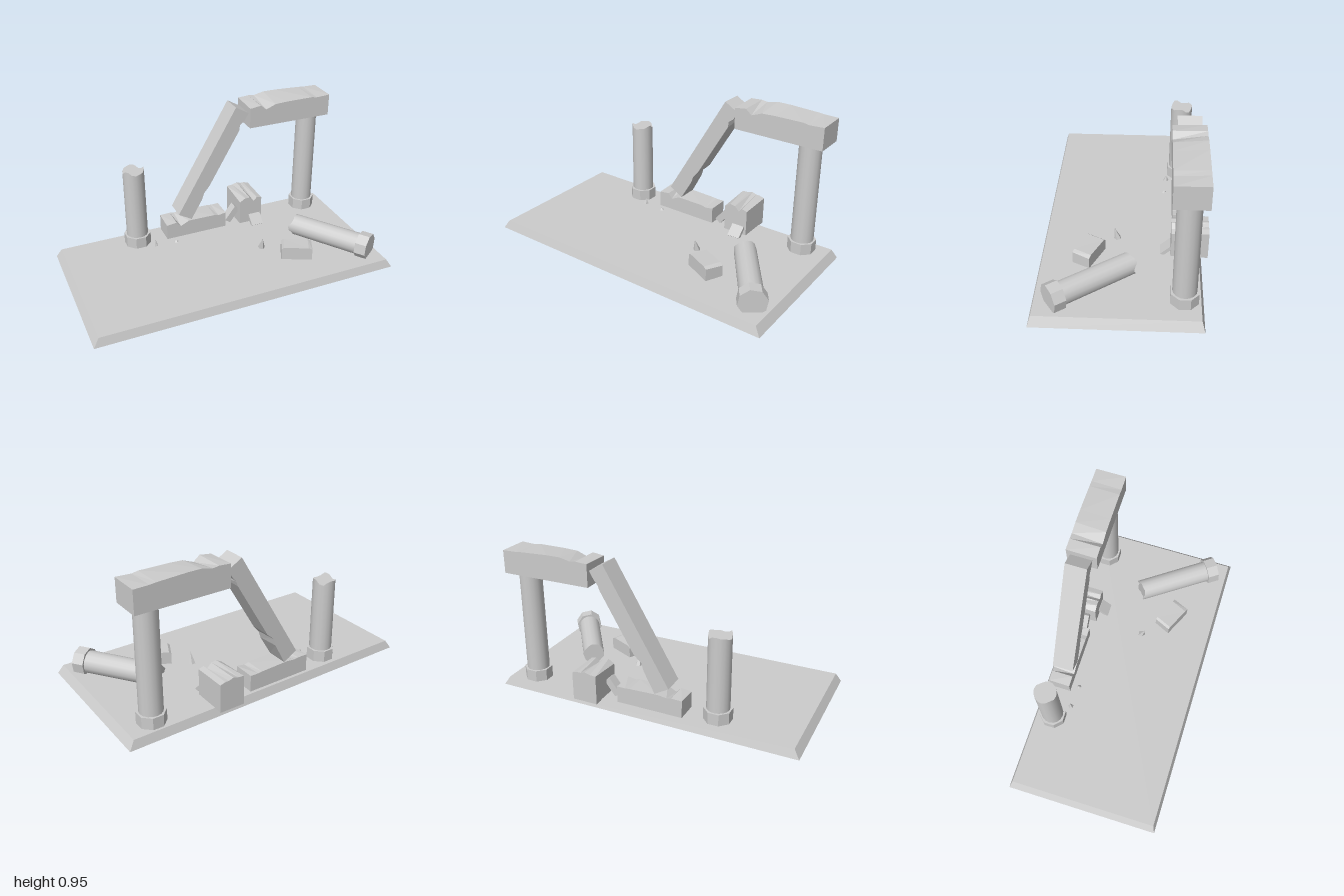
import * as THREE from 'three';

const GROUND = 0.055;
const flat = new THREE.MeshStandardMaterial({ color: 0xcccccc, flatShading: true, side: THREE.DoubleSide });
const smooth = new THREE.MeshStandardMaterial({ color: 0xcccccc, side: THREE.DoubleSide });

function add(parent, name, geometry, material = flat) {
  const mesh = new THREE.Mesh(geometry, material);
  mesh.name = name;
  parent.add(mesh);
  return mesh;
}

// Stone block with a chipped top: profile rows are [x, front height, back height]
function chippedBlock(profile, bottom, back, front) {
  const shape = new THREE.Shape();
  shape.moveTo(profile[0][0], bottom);
  shape.lineTo(profile[profile.length - 1][0], bottom);
  for (const [x, y] of [...profile].reverse()) shape.lineTo(x, y);
  const geo = new THREE.ExtrudeGeometry(shape, { depth: front - back, bevelEnabled: false });
  const p = geo.attributes.position;
  for (let i = 0; i < p.count; i++) {
    if (p.getZ(i) > 1e-5 || p.getY(i) < bottom + 1e-4) continue;
    const row = profile.find(r => Math.abs(r[0] - p.getX(i)) < 1e-5);
    if (row) p.setY(i, row[2]);
  }
  geo.translate(0, 0, back);
  geo.computeVertexNormals();
  return geo;
}

// Column standing on its local origin, optionally snapped off at the top
function column(name, height, broken) {
  const g = new THREE.Group();
  g.name = name;
  const shaft = new THREE.CylinderGeometry(0.07, 0.072, height, 16, 1);
  shaft.translate(0, height / 2, 0);
  if (broken) {
    const p = shaft.attributes.position;
    for (let i = 0; i < p.count; i++) {
      if (p.getY(i) < height - 0.001) continue;
      const x = p.getX(i), z = p.getZ(i);
      const r = Math.hypot(x, z), a = Math.atan2(z, x);
      p.setY(i, height + (r < 0.01 ? -0.02 : 0.012 * Math.sin(3 * a + 0.6) + 0.007 * Math.cos(5 * a)));
    }
  }
  add(g, 'shaft', shaft, smooth);
  const foot = add(g, 'foot', new THREE.CylinderGeometry(0.089, 0.089, 0.075, 8));
  foot.position.y = 0.0375;
  foot.rotation.y = Math.PI / 8;
  return g;
}

export function createModel() {
  const root = new THREE.Group();
  root.name = 'ruin';

  // Sloped ground slab, open underneath
  const slab = new THREE.CylinderGeometry(Math.SQRT1_2, Math.SQRT1_2, GROUND, 4, 1, true).toNonIndexed();
  slab.rotateY(Math.PI / 4);
  const sp = slab.attributes.position;
  for (let i = 0; i < sp.count; i++) {
    const top = sp.getY(i) > 0;
    sp.setXYZ(i, Math.sign(sp.getX(i)) * (top ? 0.965 : 1), top ? GROUND : 0,
      0.0175 + Math.sign(sp.getZ(i)) * (top ? 0.48 : 0.4975));
  }
  slab.computeVertexNormals();
  add(root, 'groundSides', slab);
  const floor = new THREE.PlaneGeometry(1.93, 0.96);
  floor.rotateX(-Math.PI / 2);
  add(root, 'groundTop', floor).position.set(0, GROUND, 0.0175);

  // Columns
  const whole = column('standingColumn', 0.735, false);
  whole.position.set(0.8, GROUND, -0.365);
  const stump = column('brokenColumn', 0.548, true);
  stump.position.set(-0.465, GROUND, -0.352);
  const fallen = column('fallenColumn', 0.55, true);
  fallen.position.set(0.89, 0.116, 0.405);
  fallen.quaternion.setFromUnitVectors(new THREE.Vector3(0, 1, 0), new THREE.Vector3(-0.575, 0, -0.818).normalize());
  root.add(whole, stump, fallen);

  // Lintel resting on the standing column
  add(root, 'lintel', chippedBlock([
    [0.325, 0.928, 0.935], [0.4, 0.938, 0.94], [0.44, 0.905, 0.935], [0.51, 0.932, 0.95],
    [0.6, 0.936, 0.95], [0.78, 0.937, 0.942], [0.82, 0.93, 0.938], [0.915, 0.935, 0.936],
  ], 0.79, -0.465, -0.27));

  // Leaning beam, chipped along its underside
  const beam = add(root, 'leaningBeam', chippedBlock([
    [0, 0.106, 0.106], [0.06, 0.106, 0.106], [0.095, 0.09, 0.1], [0.13, 0.106, 0.106],
    [0.56, 0.106, 0.106], [0.62, 0.096, 0.085], [0.67, 0.106, 0.098], [0.826, 0.106, 0.106],
  ], 0, -0.44, -0.3));
  beam.position.set(0.235, 0.94, 0);
  beam.rotation.z = Math.atan2(-0.863, -0.504);

  // Fallen blocks at the back
  add(root, 'fallenBeam', chippedBlock([
    [-0.27, 0.162, 0.168], [-0.2, 0.17, 0.17], [-0.17, 0.135, 0.165], [-0.11, 0.165, 0.172],
    [0.08, 0.163, 0.166], [0.11, 0.155, 0.163], [0.165, 0.164, 0.164],
  ], 0.05, -0.442, -0.3));
  add(root, 'cubeBlock', chippedBlock([
    [0.27, 0.225, 0.242], [0.31, 0.25, 0.245], [0.345, 0.245, 0.255], [0.375, 0.215, 0.245],
    [0.4, 0.24, 0.245], [0.435, 0.23, 0.235],
  ], 0.05, -0.517, -0.29));

  // Small block lying in front
  const small = add(root, 'smallBlock', chippedBlock([
    [-0.1, 0.13, 0.125], [-0.085, 0.143, 0.138], [0.075, 0.143, 0.14], [0.1, 0.135, 0.128],
  ], 0.045, -0.058, 0.058));
  small.position.set(0.45, 0, 0.211);
  small.rotation.y = -0.44;

  // Shards propped against the blocks
  const shards = [
    [0.23, 0.115, -0.36, 0.045, 0.12, 0.06, 0, -0.65],
    [0.378, 0.08, -0.262, 0.085, 0.085, 0.022, -0.8, 0],
  ];
  for (const [x, y, z, w, h, d, rx, rz] of shards) {
    const shard = add(root, 'shard', new THREE.BoxGeometry(w, h, d));
    shard.position.set(x, y, z);
    shard.rotation.set(rx, 0, rz);
  }

  // Splinters scattered on the ground
  const splinters = [[0.275, 0.055, 0.024, 0.085], [-0.37, -0.262, 0.02, 0.045], [-0.225, -0.25, 0.02, 0.02]];
  for (const [x, z, r, h] of splinters) {
    const splinter = add(root, 'splinter', new THREE.ConeGeometry(r, h, 5));
    splinter.position.set(x, GROUND + h / 2 - 0.004, z);
    splinter.rotation.set(0.1, x * 5, 0.15);
  }
  return root;
}
